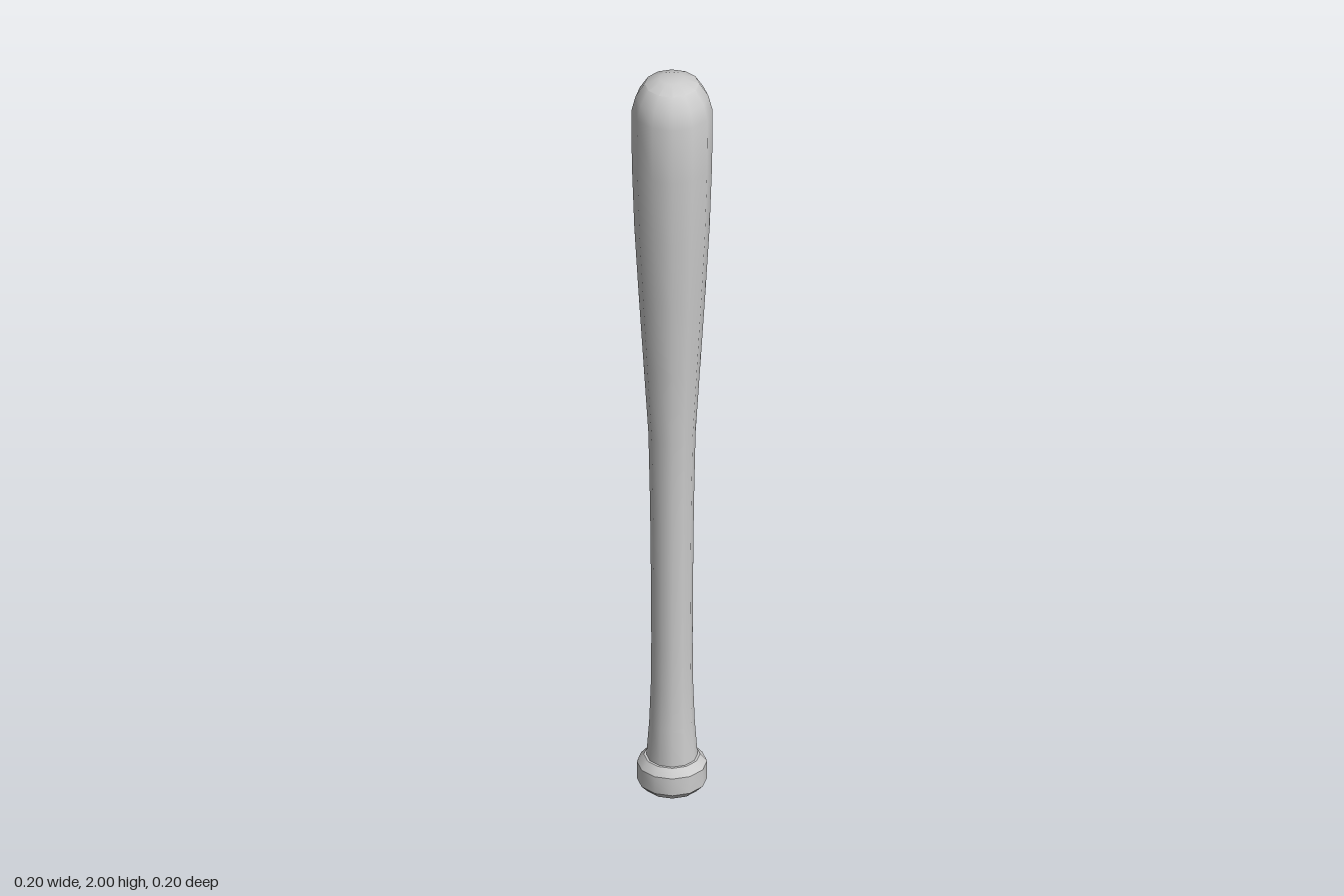
import * as THREE from 'three';
import { toCreasedNormals } from 'three/addons/utils/BufferGeometryUtils.js';

const SIDES = 12;
const CREASE = THREE.MathUtils.degToRad(36);

// Turned part from [radius, height] pairs, listed bottom to top
function turned(name, profile, material) {
  const points = profile.map(([r, y]) => new THREE.Vector2(r, y));
  const geometry = toCreasedNormals(new THREE.LatheGeometry(points, SIDES), CREASE);
  const mesh = new THREE.Mesh(geometry, material);
  mesh.name = name;
  return mesh;
}

export function createModel() {
  const group = new THREE.Group();
  group.name = 'bat';
  const material = new THREE.MeshStandardMaterial({ color: 0xcccccc });

  // Knob: flat base, chamfered rim, sloping shoulder up to the handle
  group.add(turned('knob', [
    [0, 0], [0.05, 0.002], [0.068, 0.01], [0.085, 0.028],
    [0.085, 0.075], [0.068, 0.095], [0.062, 0.095],
  ], material));

  // Flared handle, long taper, barrel and rounded tip
  group.add(turned('handleAndBarrel', [
    [0.062, 0.095], [0.055, 0.19], [0.051, 0.3], [0.05, 0.42],
    [0.051, 0.6], [0.053, 0.8], [0.057, 1.0], [0.069, 1.2],
    [0.081, 1.4], [0.091, 1.58], [0.097, 1.76], [0.098, 1.91],
    [0.088, 1.95], [0.066, 1.985], [0.03, 2], [0, 2],
  ], material));

  return group;
}
